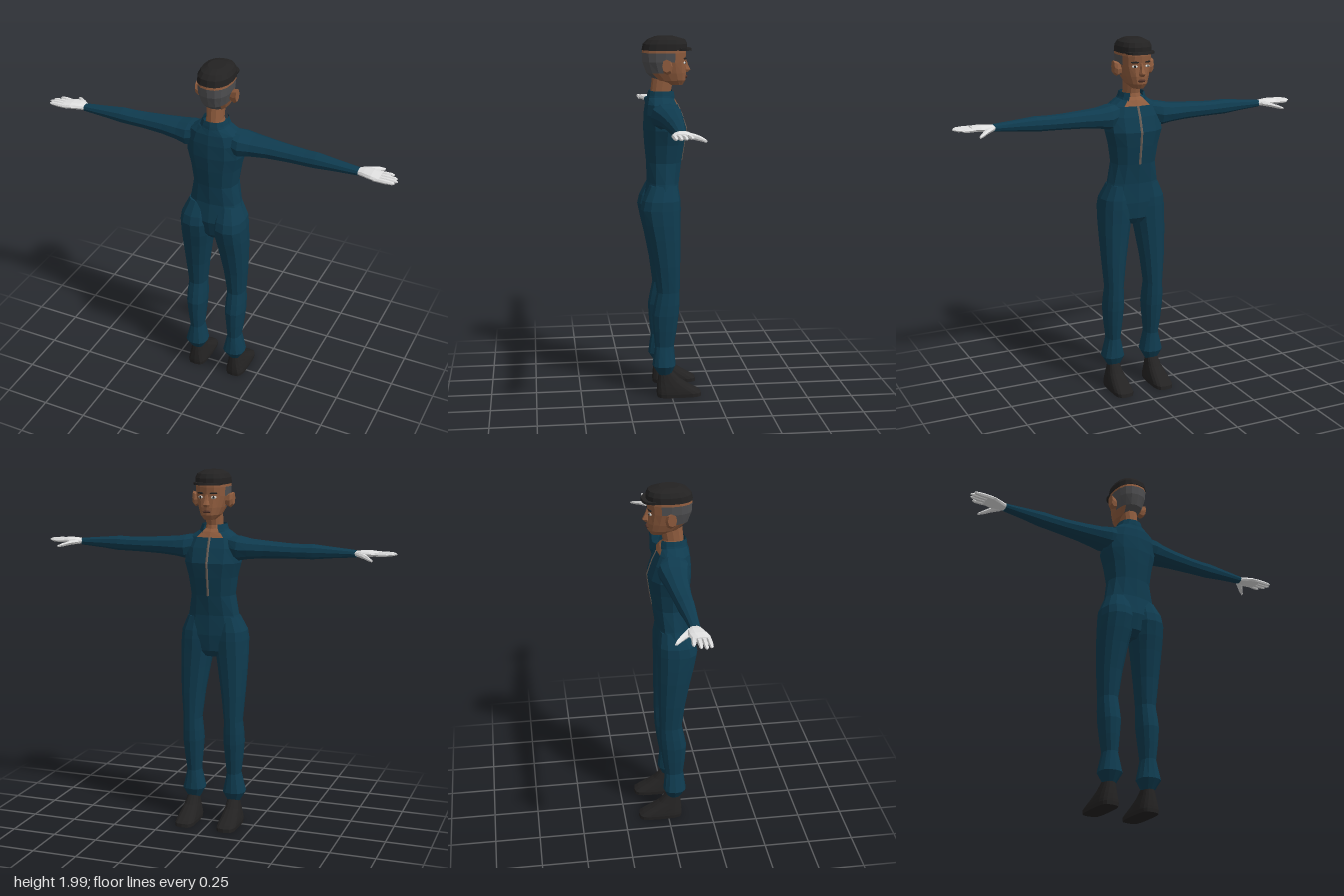
import * as THREE from 'three';

const mat = (name, color, side = THREE.FrontSide) => {
  const m = new THREE.MeshStandardMaterial({ color, side });
  m.name = name;
  return m;
};

// Superellipse ring around the y axis: height, x range, z range
function ringY(y, x0, x1, z0, z1, n = 12, p = 0.85) {
  return ellipse(n, p, (u, v) => [(x0 + x1) / 2 + u * (x1 - x0) / 2, y, (z0 + z1) / 2 + v * (z1 - z0) / 2]);
}
// Same around the x axis: station, y range, z range
function ringX(x, y0, y1, z0, z1, n = 10, p = 0.85) {
  return ellipse(n, p, (u, v) => [x, (y0 + y1) / 2 + v * (y1 - y0) / 2, (z0 + z1) / 2 + u * (z1 - z0) / 2]);
}
function ellipse(n, p, place) {
  const pw = (t) => (Math.abs(t) < 1e-9 ? 0 : Math.sign(t) * Math.pow(Math.abs(t), p));
  return Array.from({ length: n }, (_, j) => {
    const a = (j / n) * Math.PI * 2;
    return place(pw(Math.cos(a)), pw(Math.sin(a)));
  });
}

// Faceted skin through rings; s = -1 mirrors in x, pick() chooses a material slot (-1 skips)
function loft(name, rings, materials, { s = 1, pick = () => 0, caps = true } = {}) {
  const list = [].concat(materials);
  const buckets = list.map(() => []);
  const tri = (k, a, b, c) => {
    for (const q of s > 0 ? [a, b, c] : [a, c, b]) buckets[k].push(q[0] * s, q[1], q[2]);
  };
  const mean = (pts) => [0, 1, 2].map((k) => pts.reduce((t, q) => t + q[k], 0) / pts.length);
  const n = rings[0].length;
  for (let i = 0; i < rings.length - 1; i++) {
    for (let j = 0; j < n; j++) {
      const k = (j + 1) % n;
      const a = rings[i][j], b = rings[i][k], c = rings[i + 1][k], d = rings[i + 1][j];
      const slot = pick(i, j, mean([a, b, c, d]));
      if (slot < 0) continue;
      tri(slot, a, d, c);
      tri(slot, a, c, b);
    }
  }
  if (caps) {
    const lo = rings[0], hi = rings[rings.length - 1];
    const cl = mean(lo), ch = mean(hi);
    for (let j = 0; j < n; j++) {
      const k = (j + 1) % n;
      tri(0, cl, lo[j], lo[k]);
      tri(0, ch, hi[k], hi[j]);
    }
  }
  const geo = new THREE.BufferGeometry();
  let start = 0;
  buckets.forEach((b, k) => {
    geo.addGroup(start, b.length / 3, k);
    start += b.length / 3;
  });
  geo.setAttribute('position', new THREE.Float32BufferAttribute(buckets.flat(), 3));
  geo.computeVertexNormals();
  const mesh = new THREE.Mesh(geo, list.length > 1 ? list : list[0]);
  mesh.name = name;
  return mesh;
}

export function createModel() {
  const model = new THREE.Group();
  model.name = 'standingFigure';
  const suit = mat('navySuit', 0x0f3b4f);
  const collarCloth = mat('navyCollar', 0x0f3b4f, THREE.DoubleSide);
  const skin = mat('brownSkin', 0x8f5c3e);
  const hair = mat('greyHair', 0x505052);
  const black = mat('blackCloth', 0x232222);
  const glove = mat('whiteGlove', 0xe0e0e0);
  const zip = mat('zipMetal', 0x6b6058);
  const eyeWhite = mat('eyeWhite', 0xe8e6e0);
  const lip = mat('darkLip', 0x54342a);
  const add = (...a) => model.add(loft(...a));

  // Torso: height, half width, front z, back z
  const torso = [
    [0.965, 0.07, -0.02, 0.09], [1.0, 0.14, -0.045, 0.12], [1.09, 0.18, -0.055, 0.14],
    [1.2, 0.145, -0.055, 0.122], [1.31, 0.124, -0.07, 0.125], [1.41, 0.138, -0.086, 0.135],
    [1.49, 0.16, -0.096, 0.14], [1.57, 0.16, -0.07, 0.138], [1.625, 0.135, -0.045, 0.13],
    [1.655, 0.09, -0.03, 0.12], [1.672, 0.06, -0.015, 0.105],
  ];
  add('torso', torso.map(([y, w, f, b]) => ringY(y, -w, w, f, b)), [suit, skin],
    { pick: (i, j) => (i >= 8 && (j === 8 || j === 9) ? 1 : 0) });
  // Zip strip along the chest
  add('zip', torso.slice(4, 9).map(([y, , f]) => ringY(y, -0.007, 0.007, f - 0.004, f + 0.004, 4)), zip);
  // Stand-up collar, open at the front
  add('collar', [ringY(1.645, -0.088, 0.088, -0.035, 0.122), ringY(1.67, -0.074, 0.074, -0.035, 0.118),
    ringY(1.695, -0.066, 0.066, -0.03, 0.112)], collarCloth,
  { caps: false, pick: (i, j) => (j === 8 || j === 9 ? -1 : 0) });
  add('neck', [ringY(1.64, -0.055, 0.055, -0.025, 0.1), ringY(1.69, -0.043, 0.043, -0.012, 0.1),
    ringY(1.78, -0.045, 0.045, -0.03, 0.09)], skin);

  // Head with close-cropped hair round the back
  const head = [
    [1.724, 0.03, -0.075, 0.0], [1.75, 0.054, -0.092, 0.075], [1.79, 0.07, -0.095, 0.122],
    [1.85, 0.086, -0.09, 0.143], [1.898, 0.09, -0.095, 0.146], [1.925, 0.088, -0.093, 0.14],
  ];
  add('head', head.map(([y, w, f, b]) => ringY(y, -w, w, f, b, 16)), [skin, hair], {
    pick: (i, j, c) => (i >= 1 && i <= 3 && c[2] > [0, 0.06, 0.02, -0.03][i] ? 1 : 0),
  });
  add('nose', [ringY(1.792, -0.014, 0.014, -0.105, -0.07, 6), ringY(1.806, -0.018, 0.018, -0.12, -0.07, 6),
    ringY(1.83, -0.011, 0.011, -0.108, -0.07, 6), ringY(1.86, -0.008, 0.008, -0.096, -0.07, 6)], skin);
  add('mouth', [ringY(1.762, -0.018, 0.018, -0.099, -0.07, 8), ringY(1.769, -0.025, 0.025, -0.102, -0.07, 8),
    ringY(1.776, -0.015, 0.015, -0.1, -0.07, 8)], lip);

  // Cap with a short brim
  const cap = [[1.912, 0.092, -0.1, 0.147], [1.945, 0.09, -0.1, 0.14], [1.968, 0.078, -0.088, 0.118],
    [1.985, 0.045, -0.03, 0.075]];
  add('cap', cap.map(([y, w, f, b]) => ringY(y, -w, w, f, b, 16)), black);
  add('capBrim', [ringY(1.91, -0.078, 0.078, -0.125, 0.0, 16), ringY(1.922, -0.08, 0.08, -0.122, 0.0, 16)], black);

  for (const s of [1, -1]) {
    const side = s > 0 ? 'left' : 'right';
    const o = { s };

    // Eye, pupil and brow
    const blob = (name, m, x, y, z, sx, sy, sz) => {
      const e = new THREE.Mesh(new THREE.SphereGeometry(1, 10, 6), m);
      e.name = side + name;
      e.position.set(x * s, y, z);
      e.scale.set(sx, sy, sz);
      e.rotation.y = -0.4 * s;
      model.add(e);
    };
    blob('Eye', eyeWhite, 0.037, 1.845, -0.082, 0.016, 0.008, 0.005);
    blob('Pupil', black, 0.037, 1.845, -0.085, 0.006, 0.007, 0.004);
    blob('Brow', black, 0.037, 1.867, -0.084, 0.022, 0.005, 0.005);

    // Ear
    add(side + 'Ear', [ringX(0.07, 1.8, 1.85, -0.005, 0.035, 8), ringX(0.1, 1.785, 1.865, -0.01, 0.045, 8),
      ringX(0.115, 1.8, 1.868, 0.0, 0.048, 8)], skin, o);

    // Sleeve: x, bottom y, top y, front z, back z
    add(side + 'Sleeve', [
      [0.08, 1.52, 1.64, -0.03, 0.1], [0.15, 1.5, 1.632, -0.06, 0.115], [0.21, 1.512, 1.62, -0.055, 0.1],
      [0.3, 1.52, 1.613, -0.042, 0.085], [0.42, 1.524, 1.605, -0.03, 0.075], [0.5, 1.525, 1.603, -0.022, 0.073],
      [0.56, 1.525, 1.605, -0.018, 0.072], [0.66, 1.535, 1.595, -0.005, 0.066], [0.79, 1.545, 1.583, 0.008, 0.06],
    ].map((r) => ringX(...r)), suit, o);

    // Gloved hand: palm, four fingers, thumb
    add(side + 'Palm', [
      [0.78, 1.55, 1.579, 0.01, 0.056], [0.82, 1.55, 1.584, -0.01, 0.07], [0.865, 1.552, 1.585, -0.012, 0.086],
      [0.91, 1.556, 1.58, 0.002, 0.09],
    ].map((r) => ringX(...r)), glove, o);
    [[0.01, 0.0, 0.965], [0.033, 0.03, 0.99], [0.056, 0.055, 1.0], [0.079, 0.079, 0.99]].forEach(([z0, z1, tip], k) => {
      const f = (x, z, r) => ringX(x, 1.567 - r * 0.85, 1.567 + r * 0.85, z - r, z + r, 6);
      add(side + 'Finger' + (k + 1), [f(0.88, z0, 0.012), f((0.89 + tip) / 2, (z0 + z1) / 2, 0.0125),
        f(tip - 0.012, z1, 0.0095), f(tip, z1, 0.004)], glove, o);
    });
    add(side + 'Thumb', [
      [0.8, 1.552, 1.576, -0.008, 0.03], [0.84, 1.546, 1.572, -0.042, 0.008],
      [0.87, 1.54, 1.562, -0.066, -0.035], [0.895, 1.537, 1.55, -0.08, -0.064],
    ].map((r) => ringX(...r, 6)), glove, o);

    // Trouser leg: y, inner x, outer x, front z, back z
    add(side + 'Leg', [
      [0.125, 0.085, 0.152, 0.0, 0.07], [0.18, 0.055, 0.184, -0.025, 0.105], [0.29, 0.08, 0.157, -0.015, 0.09],
      [0.38, 0.072, 0.168, -0.03, 0.1], [0.47, 0.064, 0.176, -0.042, 0.106], [0.53, 0.066, 0.175, -0.046, 0.095],
      [0.6, 0.07, 0.17, -0.047, 0.08], [0.75, 0.052, 0.182, -0.05, 0.1], [0.9, 0.028, 0.189, -0.052, 0.13],
      [0.98, 0.014, 0.19, -0.053, 0.15], [1.06, 0.008, 0.188, -0.055, 0.166], [1.11, 0.012, 0.182, -0.053, 0.155],
      [1.19, 0.03, 0.145, -0.04, 0.115],
    ].map((r) => ringY(...r)), suit, o);

    // Shoe with a squared toe
    add(side + 'Shoe', [
      [0, 0.068, 0.178, -0.168, 0.08, 16, 0.55], [0.02, 0.066, 0.18, -0.166, 0.082, 16, 0.55],
      [0.035, 0.068, 0.178, -0.145, 0.082, 16, 0.6], [0.062, 0.073, 0.172, -0.098, 0.08, 16, 0.7],
      [0.095, 0.08, 0.163, -0.05, 0.076, 16, 0.8], [0.15, 0.09, 0.148, 0.002, 0.068, 16, 0.85],
    ].map((r) => ringY(...r)), black, o);
  }
  return model;
}
